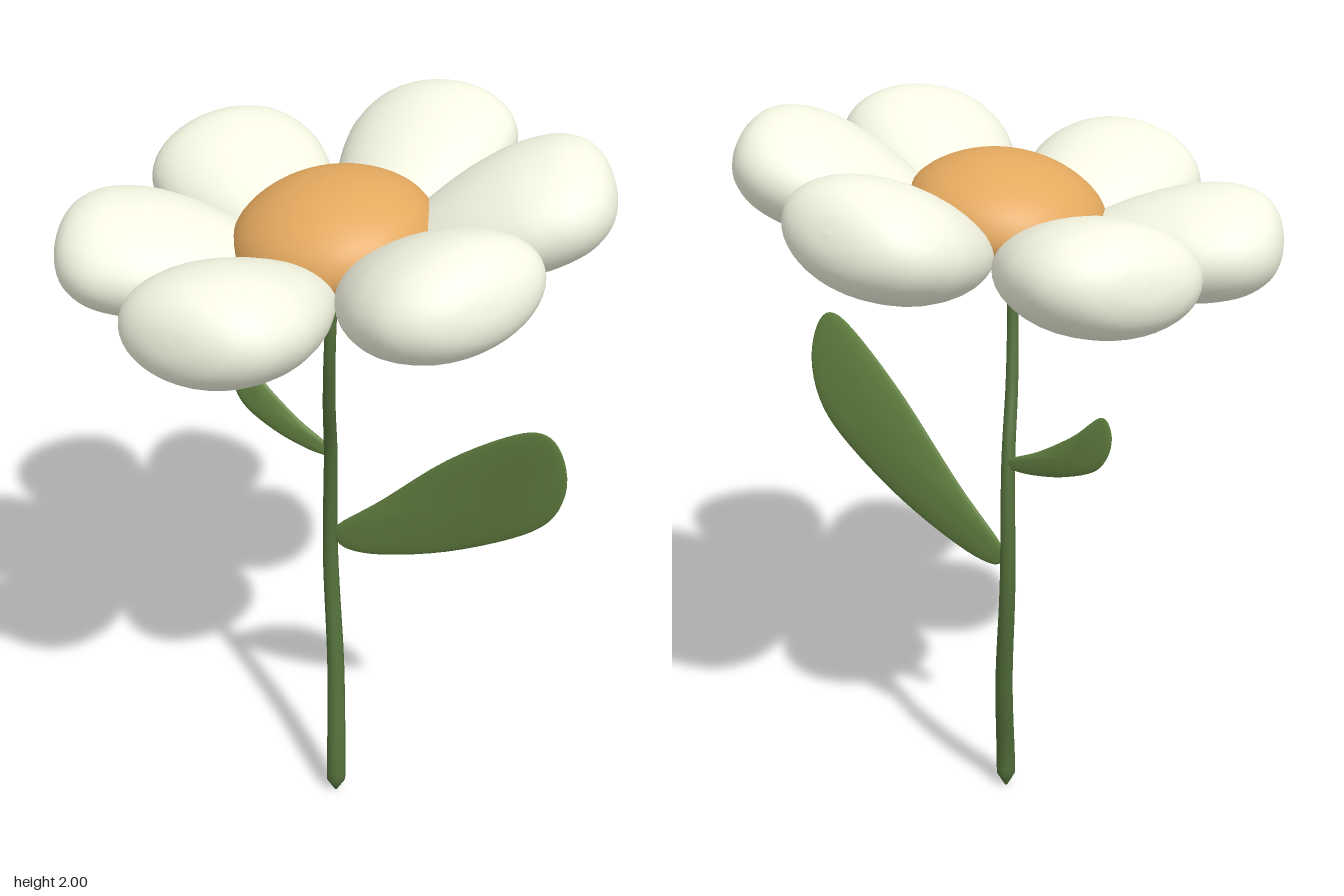
import * as THREE from 'three';
import { mergeVertices } from 'three/addons/utils/BufferGeometryUtils.js';

const V2 = (a) => a.map(([x, y]) => new THREE.Vector2(x, y));
const paint = (color) => new THREE.MeshStandardMaterial({ color });
const petalPaint = paint(0xf7f8e4), centrePaint = paint(0xe4a95f);
const stemPaint = paint(0x526e3a), leafPaint = paint(0x658443);

function add(parent, name, geometry, material) {
  const mesh = new THREE.Mesh(geometry, material);
  mesh.name = name;
  parent.add(mesh);
  return mesh;
}

// Tube along a curve whose thickness follows radius(t)
function taperedTube(curve, radius) {
  const g = new THREE.TubeGeometry(curve, 80, 1, 14);
  const p = g.attributes.position, v = new THREE.Vector3();
  for (let i = 0; i < p.count; i++) {
    const t = g.attributes.uv.getX(i), c = curve.getPointAt(t);
    v.fromBufferAttribute(p, i).sub(c).multiplyScalar(radius(t)).add(c);
    p.setXYZ(i, v.x, v.y, v.z);
  }
  g.computeVertexNormals();
  return g;
}

// Lens-shaped leaf: a sphere spread out to a counter-clockwise outline
function leafGeometry(outline, centre, thickness, depth) {
  const curve = new THREE.SplineCurve(V2([...outline, outline[0]]));
  const g = new THREE.SphereGeometry(1, 56, 18);
  const p = g.attributes.position;
  for (let i = 0; i < p.count; i++) {
    const c = p.getY(i), s = Math.sqrt(Math.max(0, 1 - c * c));
    // The sphere's u runs slightly past 0 and 1 at its poles
    const o = curve.getPoint(THREE.MathUtils.clamp(g.attributes.uv.getX(i), 0, 1));
    const x = centre[0] + s * (o.x - centre[0]);
    const y = centre[1] + s * (o.y - centre[1]);
    p.setXYZ(i, x, y, depth(y) + thickness * c);
  }
  g.deleteAttribute('uv');
  g.deleteAttribute('normal');
  const merged = mergeVertices(g, 1e-5);
  merged.computeVertexNormals();
  return merged;
}

// Lathe from a smooth profile of [radius, height] points
function smoothLathe(points, segments) {
  const profile = new THREE.SplineCurve(V2(points)).getPoints(36);
  profile.forEach((q) => { q.x = Math.max(0, q.x); });
  return new THREE.LatheGeometry(profile, segments);
}

// Egg-shaped petal, blunt at the outer end, flattened and tipped upward along +x
function petalGeometry() {
  const g = smoothLathe([
    [0, 0.095], [0.055, 0.115], [0.13, 0.225], [0.19, 0.34], [0.222, 0.44],
    [0.23, 0.52], [0.212, 0.605], [0.158, 0.667], [0.08, 0.697], [0, 0.704],
  ], 40);
  g.rotateZ(-Math.PI / 2);
  g.scale(1, 0.6, 1);
  g.rotateZ(0.25);
  return g;
}

export function createModel() {
  const flower = new THREE.Group();
  flower.name = 'flower';

  // Curving stem, pointed at the foot and thinner toward the top
  const stemCurve = new THREE.CatmullRomCurve3([
    [0.022, 0, 0.04], [0.022, 0.1, 0.038], [-0.016, 0.4, -0.022], [-0.06, 0.75, -0.066],
    [-0.042, 1.1, -0.038], [-0.008, 1.3, 0.025], [0.018, 1.5, 0.062], [0.014, 1.7, 0.035],
  ].map((a) => new THREE.Vector3(...a)));
  add(flower, 'stem', taperedTube(stemCurve, (t) =>
    (0.028 - 0.015 * t) * Math.min(1, 0.15 + t / 0.03)), stemPaint);

  // Large cupped leaf on the left, small leaf on the right
  add(flower, 'largeLeaf', leafGeometry([
    [-0.05, 0.82], [-0.01, 0.79], [0.1, 0.808], [0.3, 0.89], [0.5, 1.01], [0.6, 1.105],
    [0.64, 1.22], [0.625, 1.325], [0.575, 1.367], [0.48, 1.325], [0.3, 1.185], [0.1, 0.985],
    [-0.03, 0.865],
  ], [0.36, 1.08], 0.017, (y) => -0.063 + 0.16 * (y - 0.8) ** 2), leafPaint);
  add(flower, 'smallLeaf', leafGeometry([
    [-0.055, 1.08], [-0.045, 1.095], [-0.06, 1.115], [-0.15, 1.16], [-0.26, 1.235],
    [-0.345, 1.31], [-0.375, 1.275], [-0.365, 1.21], [-0.32, 1.15], [-0.22, 1.105],
    [-0.12, 1.083],
  ], [-0.25, 1.175], 0.012, (y) => -0.05 - (y - 1.1) * 0.08), leafPaint);

  // Flower head, leaning a little to the front right
  const head = new THREE.Group();
  head.name = 'flowerHead';
  head.position.set(0.003, 1.648, -0.012);
  head.quaternion.setFromUnitVectors(
    new THREE.Vector3(0, 1, 0), new THREE.Vector3(-0.12, 1, 0.087).normalize());
  flower.add(head);

  // Domed centre with a flattened underside
  add(head, 'centre', smoothLathe([
    [0, 0.005], [0.12, 0.008], [0.2, 0.028], [0.243, 0.065], [0.256, 0.11],
    [0.23, 0.17], [0.17, 0.218], [0.09, 0.25], [0, 0.26],
  ], 48), centrePaint);

  // Six petals: front and back ones straight, side ones turned slightly sideways
  const petal = petalGeometry();
  for (const degrees of [28.5, 90, 151.5, 208.5, 270, 331.5]) {
    add(head, 'petal', petal, petalPaint).rotation.y = THREE.MathUtils.degToRad(degrees);
  }
  return flower;
}
